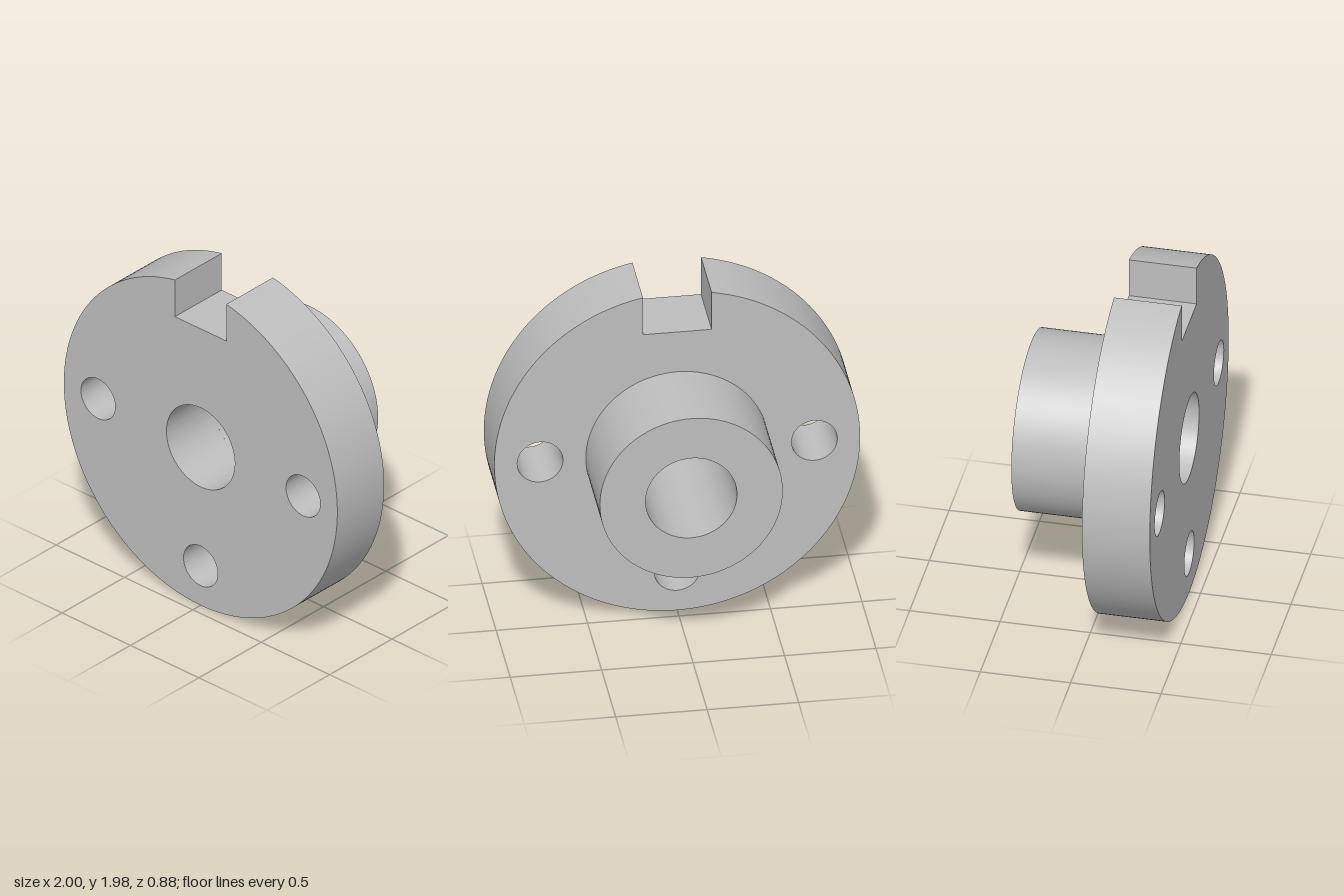
import * as THREE from 'three';
import { toCreasedNormals } from 'three/addons/utils/BufferGeometryUtils.js';

const SEGMENTS = 96;
const BORE_R = 0.25, HUB_R = 0.5;
const FRONT_Z = 0.4375, JOINT_Z = 0.0625, BACK_Z = -0.4375;
const NOTCH_HALF = 0.1875, NOTCH_FLOOR = 0.75;

export function createModel() {
  const model = new THREE.Group();
  model.name = 'flangedHub';
  const steel = new THREE.MeshStandardMaterial({ color: 0xbebebe });
  steel.name = 'greySteel';

  function addPart(name, geometry) {
    const mesh = new THREE.Mesh(toCreasedNormals(geometry, Math.PI / 6), steel);
    mesh.name = name;
    mesh.position.y = 1;
    model.add(mesh);
  }

  // Flange disc outline with a square keyway notch at the top
  const half = Math.asin(NOTCH_HALF);
  const outline = new THREE.Shape();
  outline.absarc(0, 0, 1, Math.PI / 2 + half, Math.PI * 2.5 - half, false);
  outline.lineTo(NOTCH_HALF, NOTCH_FLOOR);
  outline.lineTo(-NOTCH_HALF, NOTCH_FLOOR);
  outline.closePath();

  // Central bore and three bolt holes
  for (const [x, y, r] of [[0, 0, BORE_R], [-0.75, 0, 0.125], [0.75, 0, 0.125], [0, -0.75, 0.125]]) {
    const hole = new THREE.Path();
    hole.absarc(x, y, r, 0, Math.PI * 2, true);
    outline.holes.push(hole);
  }
  const flange = new THREE.ExtrudeGeometry(outline, {
    depth: FRONT_Z - JOINT_Z, bevelEnabled: false, curveSegments: SEGMENTS,
  });
  flange.translate(0, 0, JOINT_Z);
  addPart('flange', flange);

  // Hollow hub behind the flange, open where it joins the disc
  const profile = [
    [HUB_R, -JOINT_Z], [HUB_R, -BACK_Z], [BORE_R, -BACK_Z], [BORE_R, -JOINT_Z],
  ].map(([r, h]) => new THREE.Vector2(r, h));
  const hub = new THREE.LatheGeometry(profile, SEGMENTS);
  hub.rotateX(-Math.PI / 2);
  addPart('hub', hub);

  return model;
}
